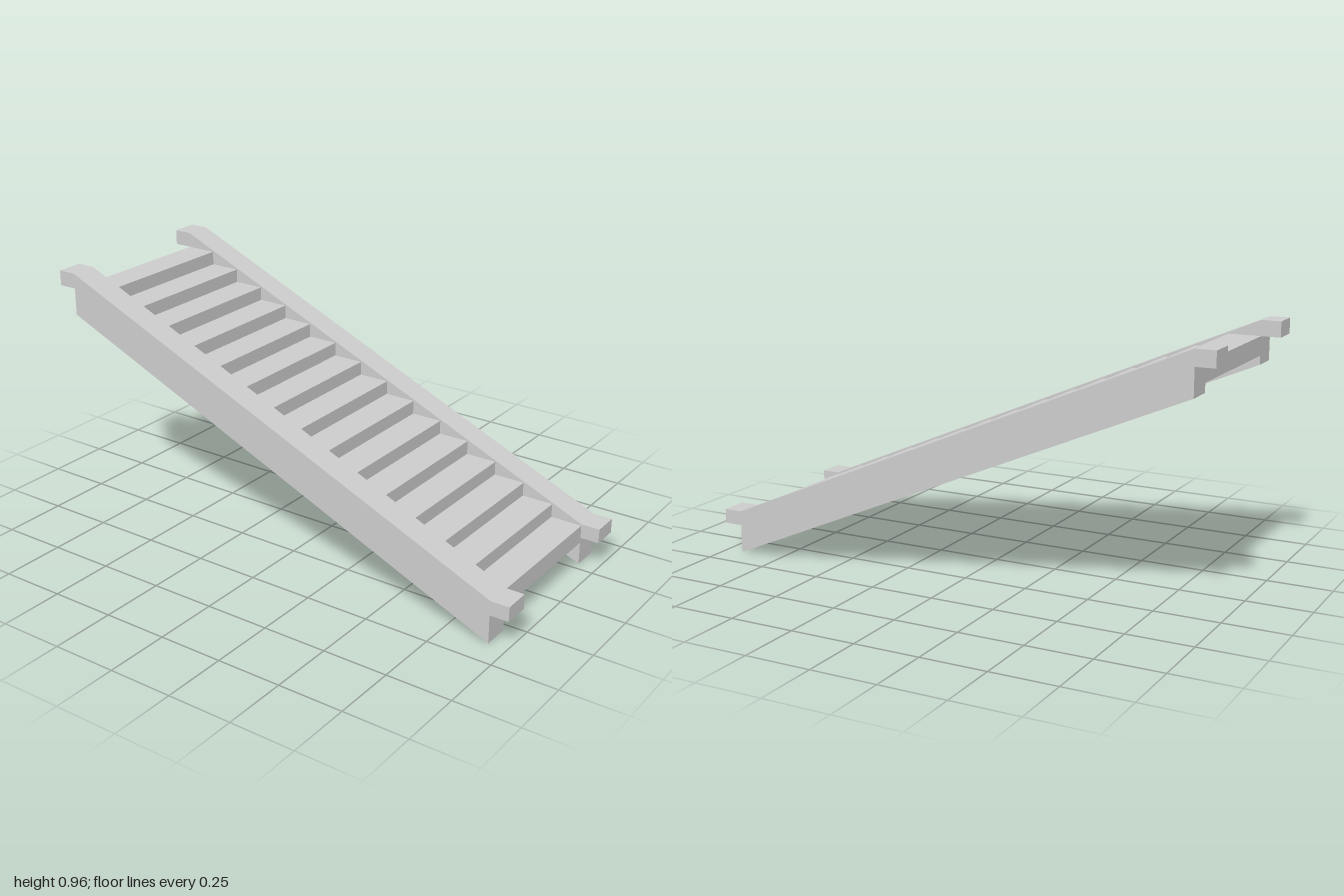
import * as THREE from 'three';

const STEPS = 15;
const END_X = 0.927;            // half length of the flight
const RUN = (2 * END_X) / STEPS;
const RISE = 0.0532;
const TOP_Y = 0.905;            // top of the highest step
const STEP_DEPTH = 0.071;       // height of each step block
const INNER_Z = 0.285;
const OUTER_Z = 0.39;

const material = new THREE.MeshStandardMaterial({ color: 0xcccccc, flatShading: true });

// Extrudes a side outline (x, y) between two z positions
function extrudeOutline(name, points, z0, z1) {
  const shape = new THREE.Shape(points.map(([x, y]) => new THREE.Vector2(x, y)));
  const geometry = new THREE.ExtrudeGeometry(shape, { depth: z1 - z0, bevelEnabled: false });
  geometry.translate(0, 0, z0);
  const mesh = new THREE.Mesh(geometry, material);
  mesh.name = name;
  return mesh;
}

export function createModel() {
  const group = new THREE.Group();
  group.name = 'staircase';

  // Side rails: sloping beams with a short level hook at each end
  const rail = [
    [-1, 0.905], [-END_X, 0.905], [-END_X, 0.8], [END_X, 0],
    [END_X, 0.11], [1, 0.11], [1, 0.166], [END_X, 0.166],
    [-END_X, 0.964], [-1, 0.964],
  ];
  group.add(extrudeOutline('leftRail', rail, INNER_Z, OUTER_Z));
  group.add(extrudeOutline('rightRail', rail, -OUTER_Z, -INNER_Z));

  // Flight of steps: stepped on top and underneath
  const upper = [];
  const lower = [];
  for (let i = 0; i < STEPS; i++) {
    const x = -END_X + i * RUN;
    const y = TOP_Y - i * RISE;
    upper.push([x, y], [x + RUN, y]);
    lower.push([x, y - STEP_DEPTH], [x + RUN, y - STEP_DEPTH]);
  }
  group.add(extrudeOutline('steps', [...lower, ...upper.reverse()], -INNER_Z, INNER_Z));

  return group;
}
